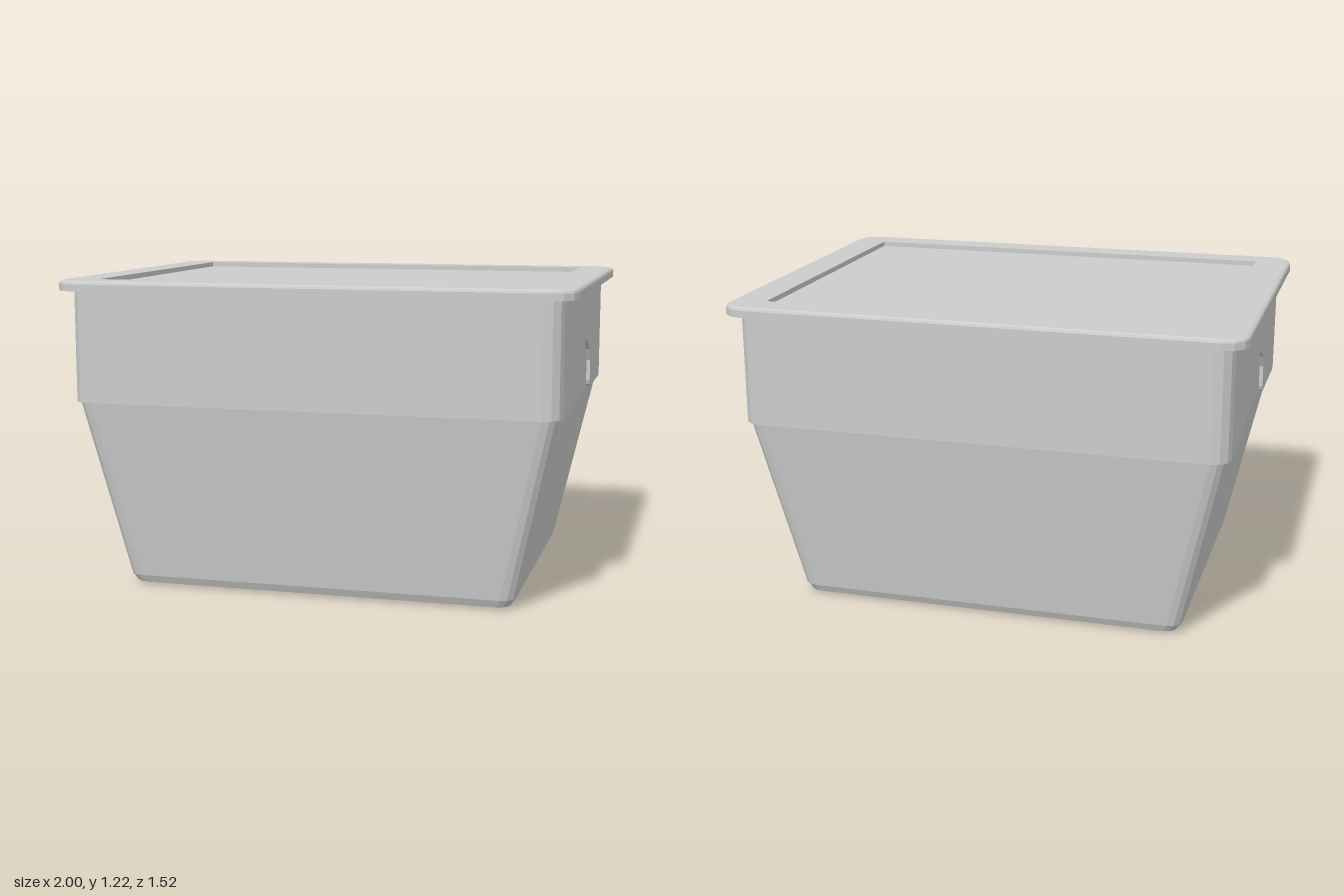
import * as THREE from 'three';

const material = new THREE.MeshStandardMaterial({ color: 0xcccccc, flatShading: true });
const SEG = 3; // facets per rounded corner

// Rounded rectangle in plan: half width w, half depth d, corner radius r
function outline(w, d, r) {
  const pts = [];
  for (let q = 0; q < 4; q++) {
    const sx = q === 0 || q === 3 ? 1 : -1;
    const sz = q < 2 ? 1 : -1;
    for (let i = 0; i <= SEG; i++) {
      const a = (q + i / SEG) * Math.PI / 2;
      pts.push([sx * (w - r) + r * Math.cos(a), sz * (d - r) + r * Math.sin(a)]);
    }
  }
  return pts;
}

// Closed solid through rounded rectangles [w, d, r, y], listed from the bottom up
function loft(sections) {
  const pos = [], index = [], n = 4 * (SEG + 1);
  for (const [w, d, r, y] of sections) {
    for (const [x, z] of outline(w, d, r)) pos.push(x, y, z);
  }
  const last = sections.length - 1, c0 = n * sections.length, c1 = c0 + 1;
  pos.push(0, sections[0][3], 0, 0, sections[last][3], 0);
  for (let j = 0; j < n; j++) {
    const k = (j + 1) % n;
    for (let s = 0; s < last; s++) {
      const a = s * n + j, b = s * n + k;
      index.push(a, a + n, b, b, a + n, b + n);
    }
    index.push(c0, j, k, c1, last * n + k, last * n + j);
  }
  const geo = new THREE.BufferGeometry();
  geo.setAttribute('position', new THREE.Float32BufferAttribute(pos, 3));
  geo.setIndex(index);
  geo.computeVertexNormals();
  return geo;
}

function add(parent, name, geo) {
  const mesh = new THREE.Mesh(geo, material);
  mesh.name = name;
  parent.add(mesh);
  return mesh;
}

const shapeOf = (pts) => new THREE.Shape(pts.map(([x, y]) => new THREE.Vector2(x, y)));

export function createModel() {
  const model = new THREE.Group();
  model.name = 'storageBin';
  const W = 0.95, D = 0.715, R = 0.07, T = 0.015; // skirt size, corner, thickness
  const LOW = 0.745, HIGH = 1.18;

  // Tapered tub with a rounded bottom edge and an upright upper wall
  add(model, 'tub', loft([
    [0.715, 0.555, 0.04, 0],
    [0.757, 0.588, 0.05, 0.01],
    [0.777, 0.602, 0.055, 0.04],
    [W - T, D - T, R - T, LOW],
    [W - T, D - T, R - T, HIGH],
  ]));

  // Skirt: front and back bands wrap around the corners
  const skirt = new THREE.Group();
  skirt.name = 'skirt';
  model.add(skirt);
  const half = 2 * (SEG + 1);
  const outer = outline(W, D, R).slice(0, half);
  const inner = outline(W - T, D - T, R - T).slice(0, half).reverse();
  const bandGeo = new THREE.ExtrudeGeometry(shapeOf([...outer, ...inner]),
    { depth: HIGH - LOW, bevelEnabled: false });
  bandGeo.rotateX(Math.PI / 2).translate(0, HIGH, 0);
  add(skirt, 'frontBand', bandGeo);
  add(skirt, 'backBand', bandGeo).rotation.y = Math.PI;

  // Skirt: end panels with an arched hand grip cut from the lower edge
  const grip = [[0.285, LOW], [0.27, 0.753], [0.263, 0.77], [0.263, 0.855],
    [0.235, 0.905], [0.16, 0.945], [0.065, 0.96]];
  const mirrored = grip.map(([z, y]) => [-z, y]).reverse();
  const edge = D - R;
  const panelGeo = new THREE.ExtrudeGeometry(
    shapeOf([[edge, HIGH], [edge, LOW], ...grip, ...mirrored, [-edge, LOW], [-edge, HIGH]]),
    { depth: T, bevelEnabled: false });
  panelGeo.rotateY(Math.PI / 2).translate(W - T, 0, 0);
  add(skirt, 'leftPanel', panelGeo);
  add(skirt, 'rightPanel', panelGeo).rotation.y = Math.PI;

  // Lid with a softened rim and a shallow rectangular recess
  add(model, 'lid', loft([
    [1, 0.76, 0.09, HIGH],
    [1, 0.76, 0.09, 1.207],
    [0.996, 0.756, 0.086, 1.215],
    [0.985, 0.745, 0.075, 1.22],
    [0.857, 0.633, 0.002, 1.22],
    [0.857, 0.633, 0.002, 1.2],
  ]));

  return model;
}
